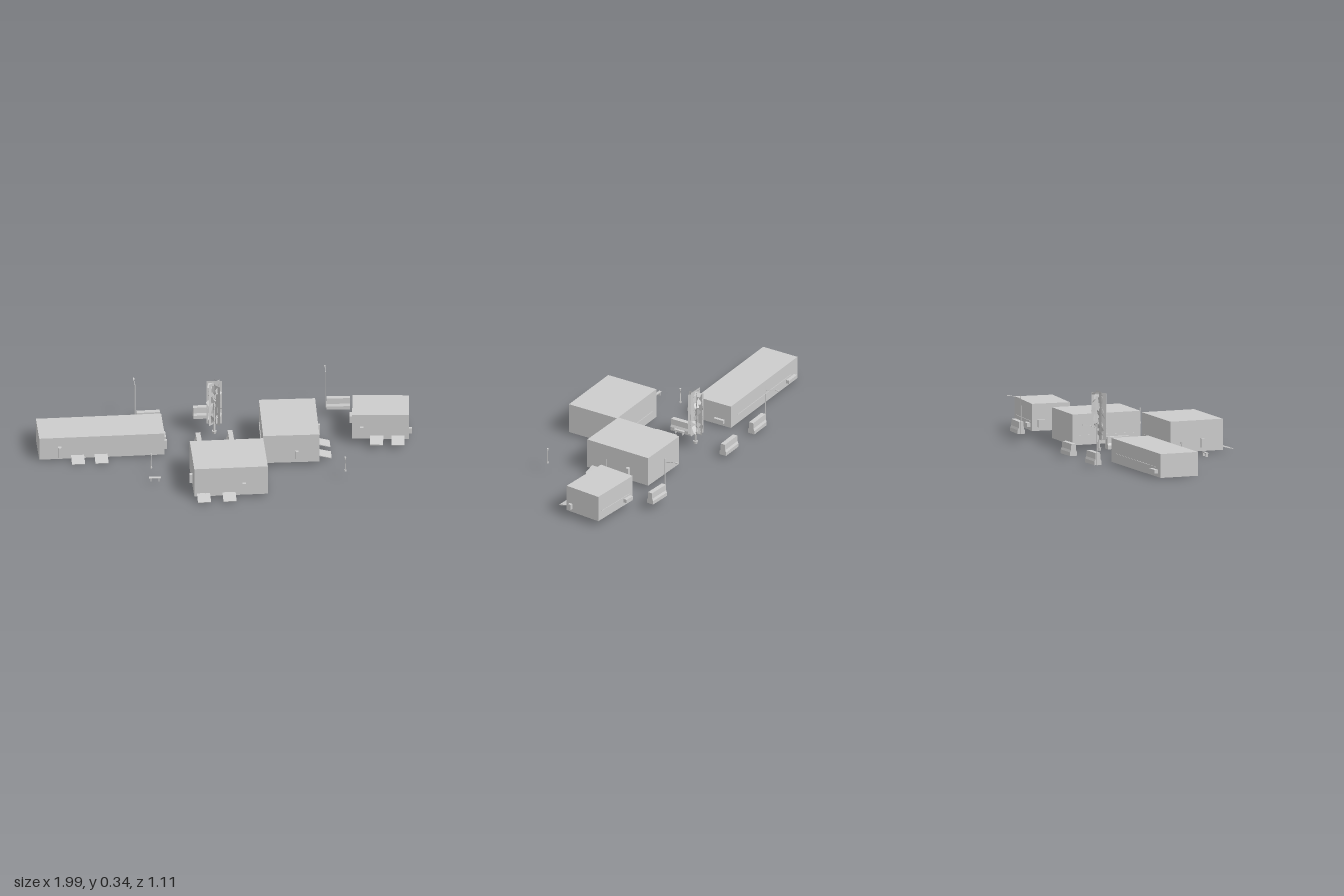
import * as THREE from 'three';

const mat = new THREE.MeshStandardMaterial({ color: 0xcccccc, flatShading: true, side: THREE.DoubleSide });

function add(parent, name, geo, x = 0, y = 0, z = 0, ry = 0) {
  const m = new THREE.Mesh(geo, mat);
  m.name = name;
  m.position.set(x, y, z);
  m.rotation.y = ry;
  parent.add(m);
  return m;
}
const box = (w, h, d) => new THREE.BoxGeometry(w, h, d);

function place(root, name, x, y, z, ry) {
  const g = new THREE.Group();
  g.name = name;
  g.position.set(x, y, z);
  g.rotation.y = ry;
  root.add(g);
  return g;
}

// Box hall, open underneath, with ramps and fittings set on its walls
function building(root, o) {
  const g = place(root, o.name, o.x, o.y, o.z, o.ry);
  const { w, d, h } = o;
  const outline = [[-w / 2, d / 2], [w / 2, d / 2], [w / 2, -d / 2], [-w / 2, -d / 2]];
  outline.forEach(([x, z], i) => {
    const [x2, z2] = outline[(i + 1) % 4];
    add(g, 'wall', new THREE.PlaneGeometry(Math.hypot(x2 - x, z2 - z), h),
      (x + x2) / 2, h / 2, (z + z2) / 2, i * Math.PI / 2);
  });
  add(g, 'roof', new THREE.PlaneGeometry(w, d).rotateX(-Math.PI / 2), 0, h, 0);
  // Sloping entrance ramps
  for (const x of o.ramps) {
    const ramp = add(g, 'ramp', box(0.07, 0.004, 0.072), x, 0.009, d / 2 + 0.032);
    ramp.rotation.x = 0.25;
  }
  // Post and thin seam on the front wall
  add(g, 'frontPost', box(0.018, 0.06, 0.018), o.post, 0.045, d / 2 + 0.009);
  add(g, 'frontSeam', box(0.004, 0.08, 0.004), o.seam, 0.045, d / 2 + 0.001);
  // Cabinets on the sides and back
  for (const [x, z, cw, cd, ch] of o.cabinets) add(g, 'wallCabinet', box(cw, ch, cd), x, 0.02 + ch / 2, z);
  // Thin rail along the back wall
  add(g, 'backRail', box(w * 0.8, 0.004, 0.004), 0, 0.05, -d / 2 - 0.001);
}

// Barrier with a wide foot and narrow top
function barrier(root, x, y, z, ry, benches) {
  const g = place(root, 'barrier', x, y, z, ry);
  const s = new THREE.Shape();
  [[-0.02, 0], [0.02, 0], [0.02, 0.02], [0.014, 0.032], [0.013, 0.065],
    [-0.013, 0.065], [-0.014, 0.032], [-0.02, 0.02]].forEach(([a, b], i) => i ? s.lineTo(a, b) : s.moveTo(a, b));
  const geo = new THREE.ExtrudeGeometry(s, { depth: 0.125, bevelEnabled: false });
  geo.translate(0, 0, -0.0625).rotateY(Math.PI / 2);
  add(g, 'barrierBody', geo);
  if (benches) for (const side of [-1, 1]) bench(g, 0.0, 0, side * 0.032, 0);
}

// Small bench: slab on two legs
function bench(root, x, y, z, ry) {
  const g = place(root, 'bench', x, y, z, ry);
  add(g, 'benchSeat', box(0.062, 0.005, 0.014), 0, 0.02, 0);
  for (const s of [-1, 1]) add(g, 'benchLeg', box(0.005, 0.018, 0.012), s * 0.022, 0.009, 0);
}

// Street lamp with a curved arm toward the back
function streetLamp(root, x, y, z, h, ry) {
  const g = place(root, 'streetLamp', x, y, z, ry);
  add(g, 'lampPole', new THREE.CylinderGeometry(0.002, 0.003, h, 6), 0, h / 2, 0);
  const arm = new THREE.QuadraticBezierCurve3(
    new THREE.Vector3(0, h - 0.027, 0), new THREE.Vector3(0, h - 0.012, -0.035), new THREE.Vector3(0, h - 0.008, -0.07));
  add(g, 'lampArm', new THREE.TubeGeometry(arm, 6, 0.0015, 5));
  add(g, 'lampHead', box(0.007, 0.004, 0.018), 0, h - 0.007, -0.072);
}

// Short bollard light
function bollard(root, x, y, z) {
  const g = place(root, 'bollard', x, y, z, 0);
  add(g, 'bollardFoot', new THREE.CylinderGeometry(0.005, 0.006, 0.01, 8), 0, 0.005, 0);
  add(g, 'bollardPost', new THREE.CylinderGeometry(0.002, 0.003, 0.07, 6), 0, 0.042, 0);
  add(g, 'bollardHead', new THREE.CylinderGeometry(0.005, 0.004, 0.012, 8), 0, 0.08, 0);
}

// Columnar tree made of crossed and scattered leaf cards
function tree(root, x, y, z) {
  const g = place(root, 'tree', x, y, z, 0);
  add(g, 'trunk', new THREE.CylinderGeometry(0.003, 0.007, 0.22, 6), 0, 0.11, 0);
  add(g, 'treeBase', new THREE.CylinderGeometry(0.013, 0.01, 0.016, 8), 0, 0.008, 0);
  let seed = 7;
  const rnd = () => (seed = (seed * 16807) % 2147483647) / 2147483647;
  for (let i = 0; i < 4; i++) {
    add(g, 'foliageCard', new THREE.PlaneGeometry(0.084, 0.26 - i * 0.008), 0, 0.19 - i * 0.004, 0, i * Math.PI / 4 + 0.15);
  }
  for (let i = 0; i < 45; i++) {
    const a = i * 2.4, r = 0.012 + rnd() * 0.018;
    const leaf = add(g, 'leafCard', new THREE.PlaneGeometry(0.024, 0.034),
      Math.cos(a) * r, 0.075 + (i / 45) * 0.235, Math.sin(a) * r);
    leaf.rotation.set(rnd() * 2 - 1, a + rnd(), rnd() * 2 - 1);
  }
}

export function createModel() {
  const root = new THREE.Group();
  root.name = 'buildingCluster';

  // Cabinets are [x, z, width, depth, height] in each building's own frame
  building(root, {
    name: 'longBuilding', x: -0.65, y: 0.005, z: 0.005, ry: 0.193, w: 0.668, d: 0.215, h: 0.128,
    ramps: [-0.13, -0.005], post: -0.225, seam: 0.05,
    cabinets: [[-0.26, -0.117, 0.08, 0.02, 0.02], [0.344, -0.04, 0.016, 0.06, 0.02], [0.342, 0.075, 0.016, 0.018, 0.05]],
  });
  building(root, {
    name: 'frontBuilding', x: 0.07, y: 0.015, z: 0.309, ry: 0.19, w: 0.392, d: 0.302, h: 0.167,
    ramps: [-0.147, -0.011], post: 0.069, seam: -0.135,
    cabinets: [[0.11, -0.16, 0.04, 0.02, 0.02], [-0.204, 0.03, 0.016, 0.018, 0.05]],
  });
  building(root, {
    name: 'middleBuilding', x: 0.348, y: 0.025, z: -0.1, ry: 0.167 + Math.PI / 2, w: 0.388, d: 0.299, h: 0.165,
    ramps: [-0.128, -0.008], post: 0.07, seam: -0.07,
    cabinets: [[-0.202, 0.03, 0.016, 0.018, 0.05]],
  });
  building(root, {
    name: 'smallBuilding', x: 0.816, y: 0.037, z: -0.293, ry: 0.1, w: 0.301, d: 0.211, h: 0.146,
    ramps: [-0.02, 0.093], post: -0.1, seam: 0.04,
    cabinets: [[-0.1, -0.115, 0.055, 0.02, 0.02], [-0.158, -0.05, 0.016, 0.05, 0.04], [0.16, 0.075, 0.016, 0.018, 0.03]],
  });

  // Barriers, the middle pair with benches on both sides
  barrier(root, -0.425, 0.01, -0.28, 0.2, false);
  barrier(root, -0.13, 0.02, -0.35, 0.2, false);
  barrier(root, -0.125, 0.015, -0.016, 0.2 + Math.PI / 2, true);
  barrier(root, 0.043, 0.02, -0.05, 0.2 + Math.PI / 2, true);
  barrier(root, 0.57, 0.045, -0.48, 0.12, false);

  // Street furniture
  bench(root, -0.32, 0.015, 0.35, 0.15);
  bollard(root, -0.355, 0.015, 0.214);
  bollard(root, 0.682, 0.057, 0.21);
  streetLamp(root, -0.495, 0.01, -0.275, 0.228, 0.2);
  streetLamp(root, 0.503, 0.045, -0.476, 0.218, 0.17);

  tree(root, -0.06, 0.025, -0.172);
  return root;
}
